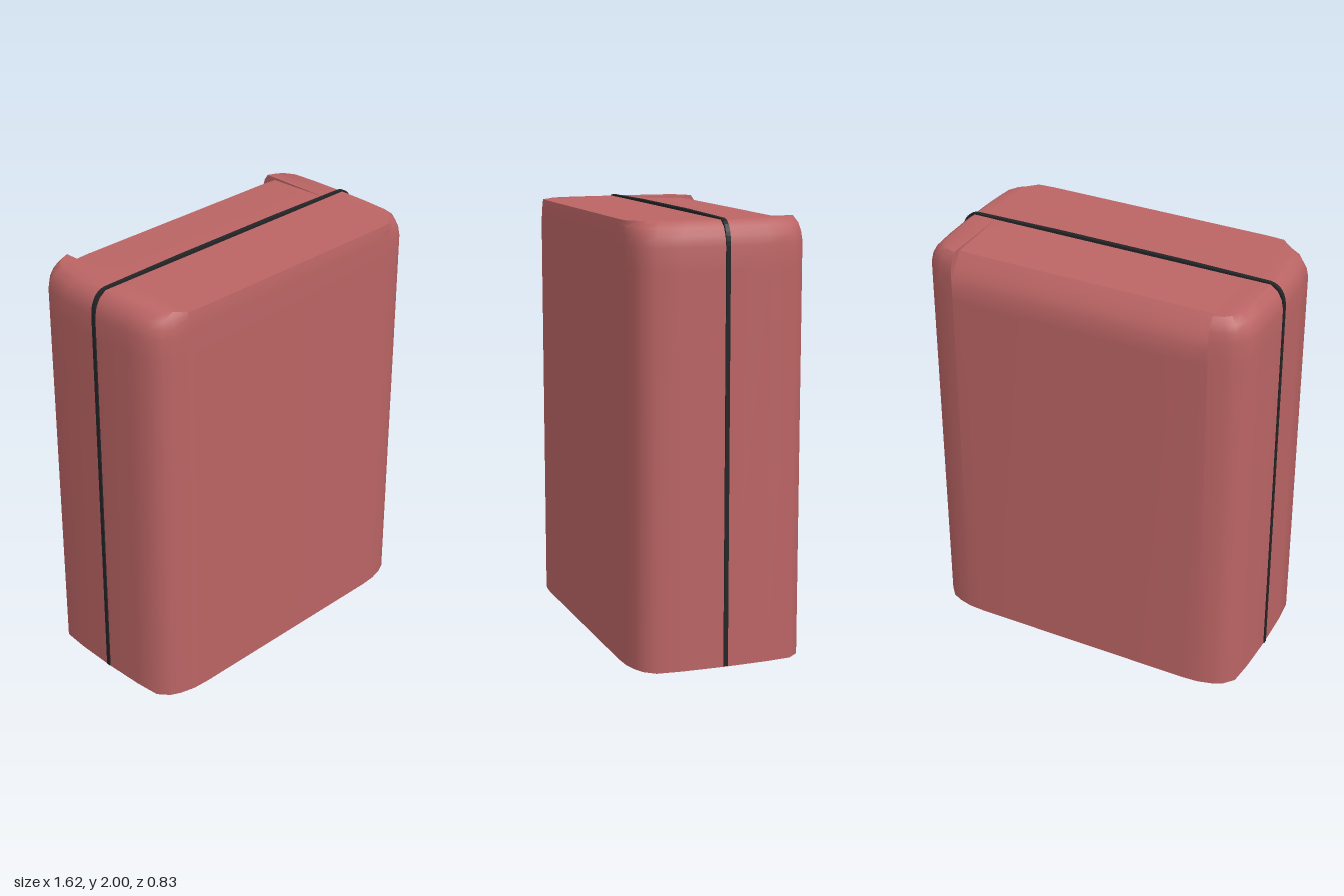
import * as THREE from 'three';
import { toCreasedNormals } from 'three/addons/utils/BufferGeometryUtils.js';

const NOTCH = 0.63; // half width of the cut in the top rear edge

// Plan outline, running front -> right -> back -> left; flagged points belong to the rear cut
function planOutline() {
  const corner = [[0.55, 0.415], [NOTCH, 0.41], [0.7, 0.392], [0.745, 0.37], [0.787, 0.32], [0.798, 0.2]];
  const right = [
    ...corner.map(([x, z]) => ({ x, z })),
    { x: 0.803, z: 0 },
    ...corner.slice(1).reverse().map(([x, z]) => ({ x, z: -z })),
    { x: NOTCH, z: -0.41, cut: true },
    { x: 0.55, z: -0.415, cut: true },
  ];
  const left = right.map((p) => ({ ...p, x: -p.x })).reverse();
  return [...right, { x: 0, z: -0.415, cut: true }, ...left, { x: 0, z: 0.415 }];
}

// Rows: height, end squeeze, corner inset, height in the cut, inset in the cut
const ROWS = [
  [0, 1, 0, 0, 0],
  [1.78, 1, 0, 1.76, 0],
  [1.88, 1, 0, 1.84, 0],
  [1.925, 0.95, 0.006, 1.885, 0.018],
  [1.96, 0.84, 0.016, 1.93, 0.045],
  [1.987, 0.64, 0.035, 1.975, 0.083],
];

function shellGeometry() {
  const outline = planOutline();
  const ring = ([y, k, inset, cutY, cutInset]) => outline.map((p) => {
    const ax = Math.abs(p.x);
    const x = Math.sign(p.x) * (ax > NOTCH ? NOTCH + (ax - NOTCH) * k : ax);
    if (p.cut) return new THREE.Vector3(x, cutY, p.z + cutInset);
    const amount = p.z < 0 || ax > NOTCH ? inset : inset * 0.2;
    return new THREE.Vector3(x, y, p.z - Math.sign(p.z) * amount);
  });
  // Close the bottom and top by drawing each end ring in to the centre line
  const flatten = (r, y) => r.map((v) => new THREE.Vector3(v.x, y, 0));
  const rings = ROWS.map(ring);
  rings.unshift(flatten(rings[0], 0));
  rings.push(flatten(rings[rings.length - 1], 1.987));

  const pos = [];
  const tri = new THREE.Triangle();
  const add = (a, b, c) => {
    if (tri.set(a, b, c).getArea() > 1e-7) pos.push(...a.toArray(), ...b.toArray(), ...c.toArray());
  };
  for (let r = 0; r < rings.length - 1; r++) {
    for (let i = 0; i < outline.length; i++) {
      const j = (i + 1) % outline.length;
      add(rings[r][i], rings[r][j], rings[r + 1][j]);
      add(rings[r][i], rings[r + 1][j], rings[r + 1][i]);
    }
  }
  const geo = new THREE.BufferGeometry();
  geo.setAttribute('position', new THREE.Float32BufferAttribute(pos, 3));
  return toCreasedNormals(geo, 0.75);
}

// Thin plate whose rim shows as a dark line around the middle
function seamGeometry() {
  const w = 0.808, s = new THREE.Shape();
  s.moveTo(-w, 0.004);
  s.lineTo(w, 0.004);
  s.lineTo(w, 1.88);
  s.bezierCurveTo(w, 1.94, 0.785, 1.99, 0.73, 1.994);
  s.lineTo(0.3, 2);
  s.lineTo(-0.3, 2);
  s.lineTo(-0.73, 1.994);
  s.bezierCurveTo(-0.785, 1.99, -w, 1.94, -w, 1.88);
  s.closePath();
  const geo = new THREE.ExtrudeGeometry(s, { depth: 0.02, bevelEnabled: false, curveSegments: 8 });
  return geo.translate(0, 0, -0.01);
}

export function createModel() {
  const shellRed = new THREE.MeshStandardMaterial({ color: 0xbb6464 });
  shellRed.name = 'shellRed';
  shellRed.side = THREE.DoubleSide;
  const seamBlack = new THREE.MeshStandardMaterial({ color: 0x222426 });
  seamBlack.name = 'seamBlack';

  const model = new THREE.Group();
  model.name = 'case';
  const parts = [['shell', shellGeometry(), shellRed], ['seam', seamGeometry(), seamBlack]];
  for (const [name, geo, mat] of parts) {
    const mesh = new THREE.Mesh(geo, mat);
    mesh.name = name;
    model.add(mesh);
  }
  return model;
}
